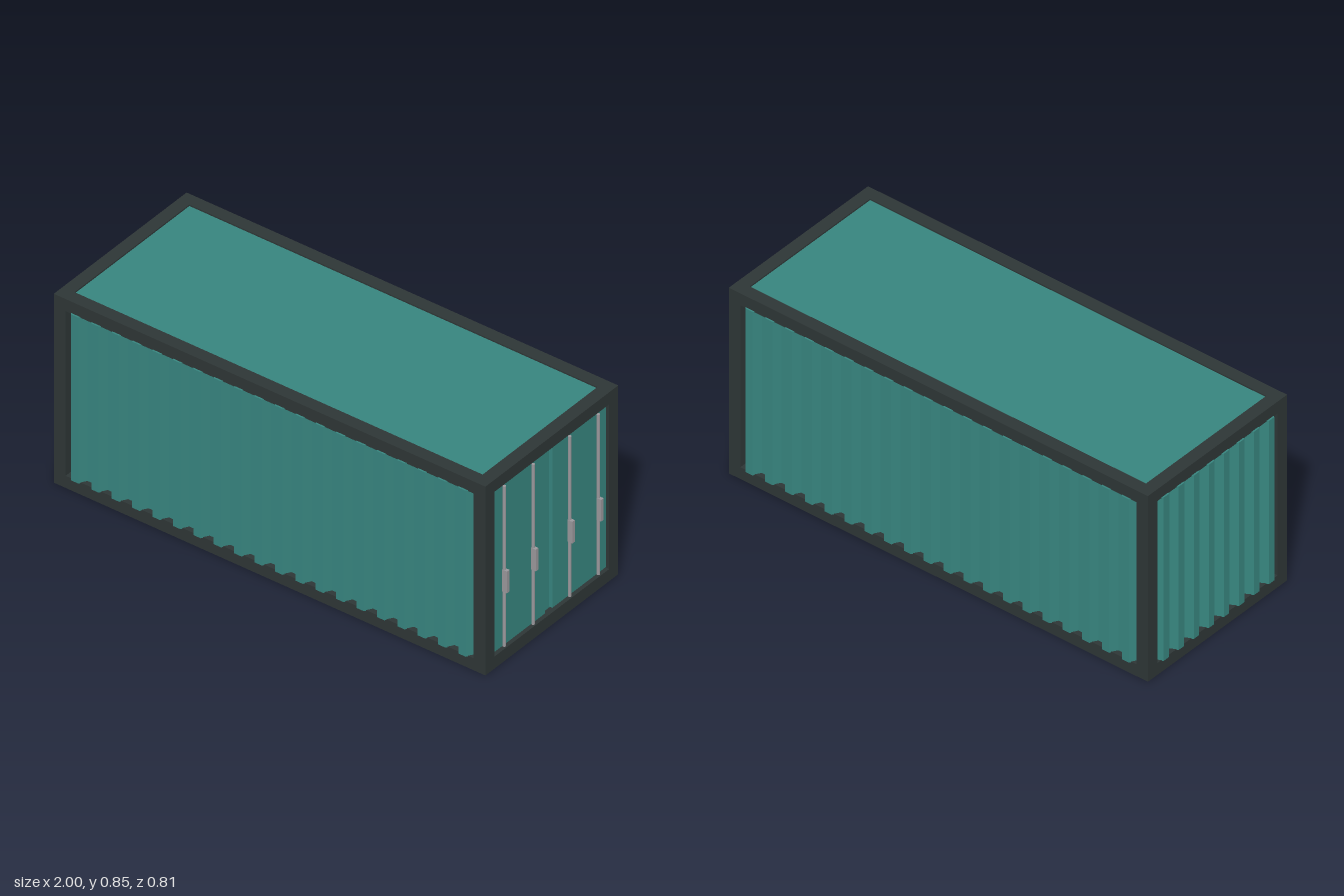
import * as THREE from 'three';

const teal = new THREE.MeshStandardMaterial({ color: 0x37857f });
const charcoal = new THREE.MeshStandardMaterial({ color: 0x2e3636 });
const steel = new THREE.MeshStandardMaterial({ color: 0x9a989c });
teal.name = 'teal paint';
charcoal.name = 'charcoal frame';
steel.name = 'steel grey';

// Outer frame limits and beam thickness
const X0 = -0.993, X1 = 0.982, Z = 0.397, H = 0.845, T = 0.054;
const CX = (X0 + X1) / 2, L = X1 - X0;

function box(parent, name, material, size, pos) {
  const mesh = new THREE.Mesh(new THREE.BoxGeometry(...size), material);
  mesh.name = name;
  mesh.position.set(...pos);
  parent.add(mesh);
  return mesh;
}

// Upright sheet with trapezoid ridges; ridges face +z, ridge tops at z = 0
function corrugatedPanel(name, length, ridges) {
  const depth = 0.03, back = -0.042, pitch = length / ridges;
  const shape = new THREE.Shape();
  shape.moveTo(-length / 2, back);
  shape.lineTo(length / 2, back);
  for (let i = ridges - 1; i >= 0; i--) {
    const x = -length / 2 + i * pitch;
    shape.lineTo(x + pitch * 0.88, -depth);
    shape.lineTo(x + pitch * 0.68, 0);
    shape.lineTo(x + pitch * 0.32, 0);
    shape.lineTo(x + pitch * 0.12, -depth);
  }
  shape.lineTo(-length / 2, -depth);
  const height = H - 2 * T + 0.006;
  const geometry = new THREE.ExtrudeGeometry(shape, { depth: height, bevelEnabled: false });
  // Shape y becomes outward z, extrusion becomes height
  geometry.rotateX(-Math.PI / 2).scale(1, 1, 1);
  geometry.rotateY(Math.PI);
  geometry.translate(0, T - 0.003, 0);
  const mesh = new THREE.Mesh(geometry, teal);
  mesh.name = name;
  return mesh;
}

function buildFrame() {
  const frame = new THREE.Group();
  frame.name = 'frame';
  for (const z of [-1, 1]) {
    const zc = z * (Z - T / 2);
    for (const y of [T / 2, H - T / 2]) box(frame, 'longBeam', charcoal, [L, T, T], [CX, y, zc]);
    for (const x of [X0 + T / 2, X1 - T / 2]) box(frame, 'cornerPost', charcoal, [T, H - 2 * T, T], [x, H / 2, zc]);
  }
  for (const x of [X0 + T / 2, X1 - T / 2])
    for (const y of [T / 2, H - T / 2])
      box(frame, 'crossBeam', charcoal, [T, T, 2 * (Z - T)], [x, y, 0]);
  return frame;
}

function buildDoors() {
  const doors = new THREE.Group();
  doors.name = 'doors';
  const face = 0.968, inner = Z - T, gap = 0.021;
  // Recessed seam between the two leaves
  box(doors, 'doorSeam', teal, [0.012, H - 2 * T, 2 * gap + 0.01], [face - 0.02, H / 2, 0]);
  for (const s of [-1, 1]) {
    box(doors, 'doorLeaf', teal, [0.026, H - 2 * T - 0.008, inner - gap], [face - 0.013, H / 2, s * (inner + gap) / 2]);
    for (const z of [0.109, 0.281]) {
      // Locking rod with its flat handle
      const rod = new THREE.Mesh(new THREE.CylinderGeometry(0.0068, 0.0068, 0.716, 10), steel);
      rod.name = 'lockingRod';
      rod.position.set(0.98, 0.424, s * z);
      doors.add(rod);
      box(doors, 'rodHandle', steel, [0.022, 0.097, 0.015], [0.987, 0.361, s * z]);
    }
  }
  return doors;
}

export function createModel() {
  const model = new THREE.Group();
  model.name = 'shippingContainer';
  model.add(buildFrame(), buildDoors());

  // Long side walls
  for (const s of [-1, 1]) {
    const wall = corrugatedPanel('sideWall', L - 2 * T, 20);
    wall.position.set(CX, 0, s * 0.404);
    if (s < 0) wall.rotation.y = Math.PI;
    model.add(wall);
  }
  // Closed end wall
  const end = corrugatedPanel('endWall', 2 * (Z - T), 8);
  end.position.x = -1;
  end.rotation.y = -Math.PI / 2;
  model.add(end);

  // Roof and floor plates, set slightly into the frame
  const plate = [L - 2 * T, 0.02, 2 * (Z - T)];
  box(model, 'roof', teal, plate, [CX, H - 0.016, 0]);
  box(model, 'floor', charcoal, plate, [CX, 0.018, 0]);
  return model;
}
